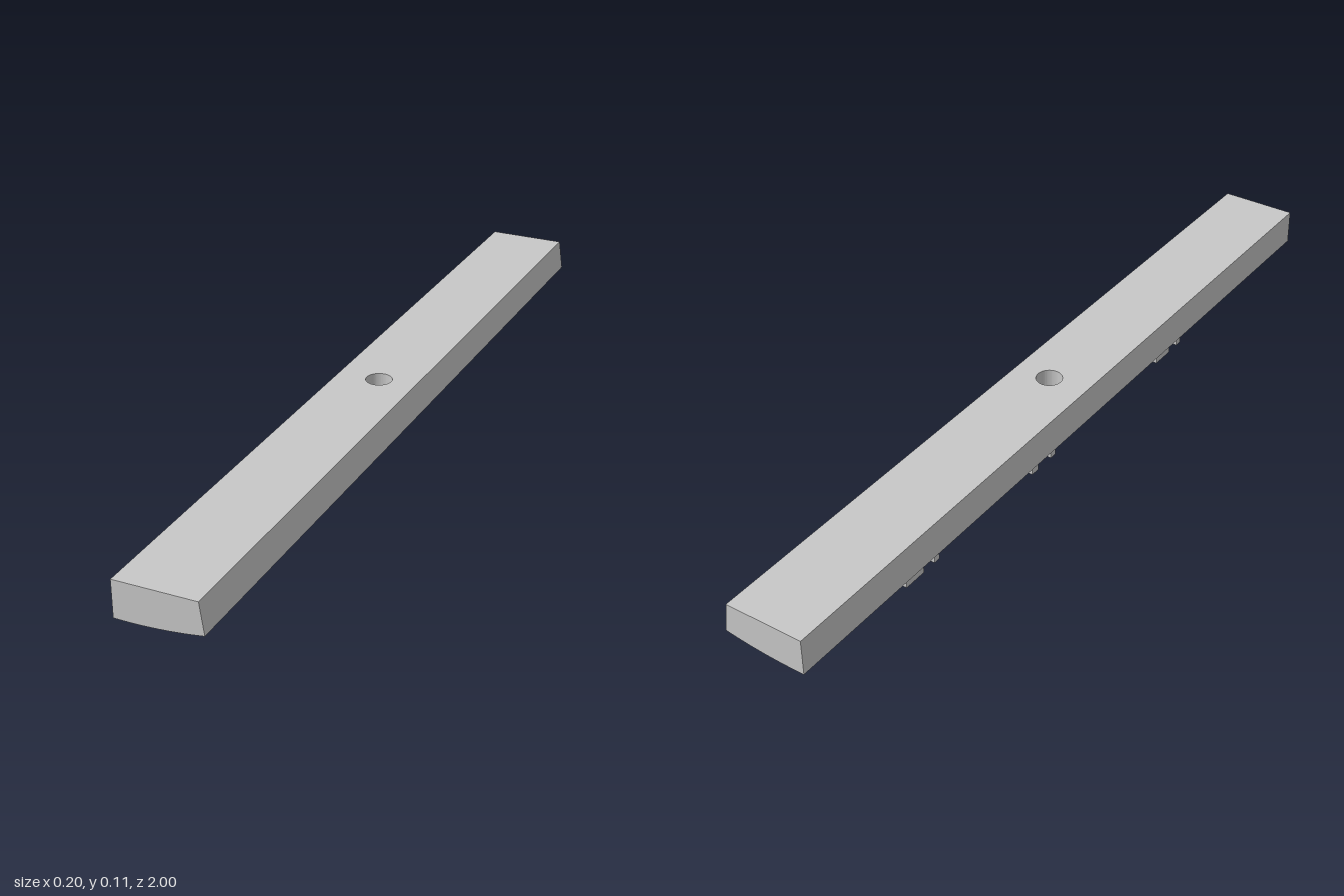
import * as THREE from 'three';

const TOP = 0.115, HALF = 0.1, HOLE = 0.031, PAD = 0.0275;
const gray = new THREE.MeshStandardMaterial({ color: 0xc8c8c8, flatShading: true });
gray.name = 'plain gray';

// gently curved underside
const under = (x) => 0.028 + 0.48 * (x + 0.07) ** 2;

// bar body: rings run from the bore to a square, then the square's ends stretch to full length
function boredBar() {
  const around = 48, steps = 6, rows = [];
  const point = (a, ring, isTop) => {
    const c = Math.cos(a), s = Math.sin(a);
    const t = Math.min(ring / steps, 1);
    const r = HOLE + (HALF / Math.max(Math.abs(c), Math.abs(s)) - HOLE) * t;
    const stretched = ring > steps && Math.abs(s) > Math.abs(c) - 1e-6;
    const x = c * r, z = stretched ? Math.sign(s) : s * r;
    // the +x side leans in toward the top
    return isTop ? [x > 0 ? x * (1 - 0.1 * t) : x, TOP, z] : [x, under(x), z];
  };
  for (let i = 0; i <= around; i++) {
    const a = (i / around) * Math.PI * 2, row = [];
    for (let k = 0; k <= steps + 1; k++) row.push(point(a, k, true));
    for (let k = steps + 1; k >= 0; k--) row.push(point(a, k, false));
    row.push(row[0]);
    rows.push(row);
  }
  const pos = [];
  for (let i = 0; i < around; i++) {
    for (let k = 0; k < rows[0].length - 1; k++) {
      const a = rows[i][k], b = rows[i + 1][k], c = rows[i + 1][k + 1], d = rows[i][k + 1];
      pos.push(...a, ...b, ...c, ...a, ...c, ...d);
    }
  }
  const geo = new THREE.BufferGeometry();
  geo.setAttribute('position', new THREE.Float32BufferAttribute(pos, 3));
  geo.computeVertexNormals();
  const mesh = new THREE.Mesh(geo, gray);
  mesh.name = 'boredBar';
  return mesh;
}

// raised pad whose lower face follows the curve of the underside
function curvedPad(name, x0, x1, z0, z1) {
  const shape = new THREE.Shape();
  shape.moveTo(x0, under(x0) - PAD);
  const n = Math.max(2, Math.round((x1 - x0) / 0.02));
  for (let i = 1; i <= n; i++) {
    const x = x0 + ((x1 - x0) * i) / n;
    shape.lineTo(x, under(x) - PAD);
  }
  const y = under((x0 + x1) / 2) + 0.006;
  shape.lineTo(x1, y);
  shape.lineTo(x0, y);
  const geo = new THREE.ExtrudeGeometry(shape, { depth: z1 - z0, bevelEnabled: false });
  geo.translate(0, 0, z0);
  const mesh = new THREE.Mesh(geo, gray);
  mesh.name = name;
  return mesh;
}

export function createModel() {
  const model = new THREE.Group();
  model.name = 'bar';
  model.add(boredBar());

  // raised pads on the underside, given as x and z ranges
  const pads = new THREE.Group();
  pads.name = 'undersidePads';
  const pad = (...args) => pads.add(curvedPad(...args));

  // the same cluster repeats one unit further back
  for (const z of [0, -1]) {
    pad('longRib', -0.035, 0.04, z + 0.544, z + 0.562);
    pad('innerRib', -0.09, -0.012, z + 0.336, z + 0.354);
    pad('post', -0.035, -0.012, z + 0.399, z + 0.417);
    pad('shortRib', -0.09, -0.035, z + 0.432, z + 0.449);
    pad('crossRib', -0.064, -0.048, z + 0.385, z + 0.44);
    pad('hookRib', -0.09, -0.055, z + 0.378, z + 0.395);
    pad('innerLink', -0.09, -0.075, z + 0.35, z + 0.382);
  }
  pad('dot', -0.017, 0.005, 0.18, 0.198);
  pad('dot', 0.004, 0.026, -0.82, -0.803);
  pad('dot', -0.04, -0.018, -0.82, -0.803);

  // stepped diagonal beside the bore
  for (let i = 0; i < 5; i++) {
    const x = -0.018 - i * 0.0135, z = -0.117 - i * 0.0205;
    pad('step', x - 0.018, x, z - 0.003, z + 0.0205);
  }
  pad('stepRib', -0.09, -0.05, -0.127, -0.11);
  pad('stepLink', -0.065, -0.05, -0.15, -0.12);
  model.add(pads);
  return model;
}
